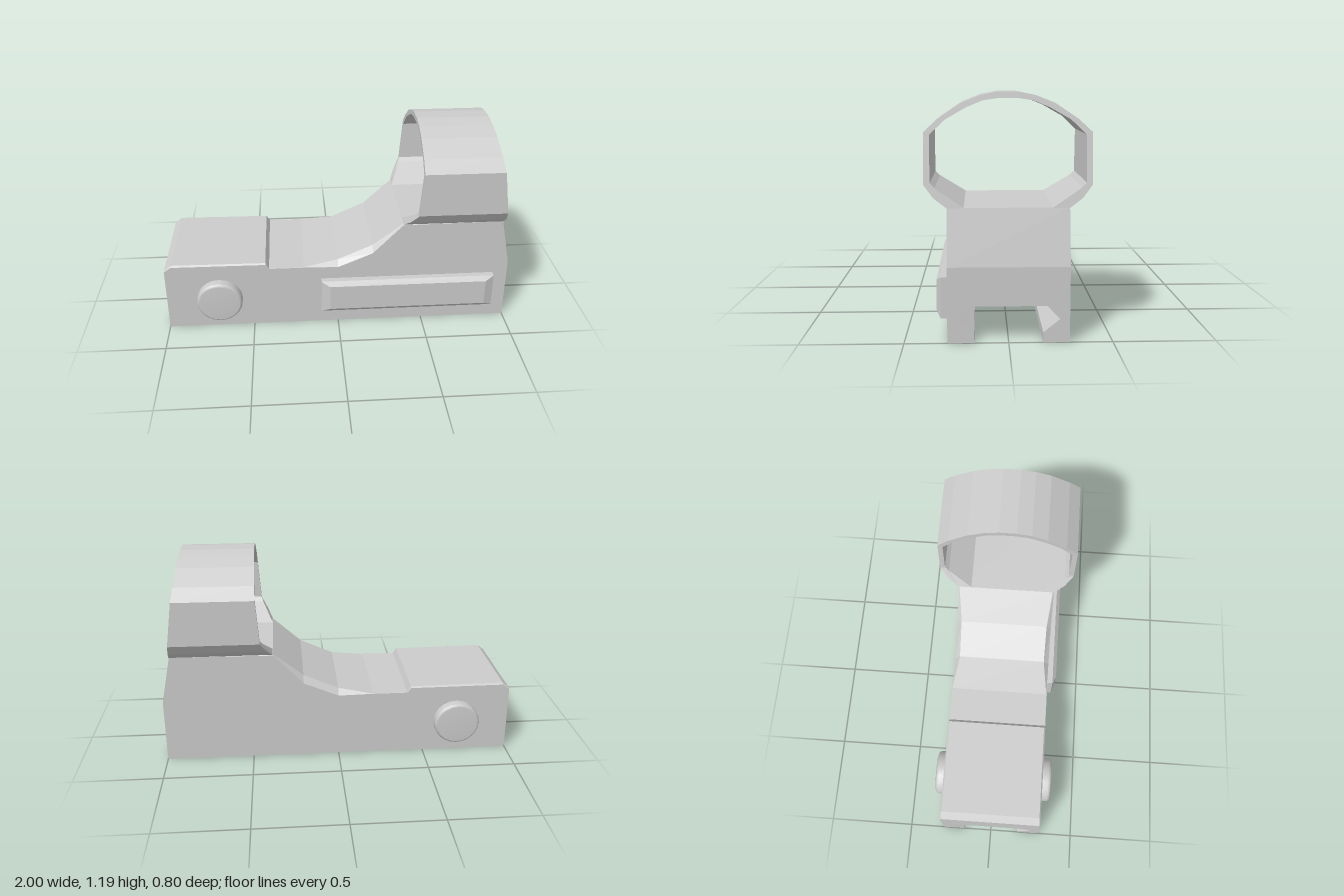
import * as THREE from 'three';

const material = new THREE.MeshStandardMaterial({ color: 0xcccccc, flatShading: true });
const smooth = new THREE.MeshStandardMaterial({ color: 0xcccccc });
const W = 0.293; // half width of the body

function add(group, name, geometry, mat = material) {
  const mesh = new THREE.Mesh(geometry, mat);
  mesh.name = name;
  group.add(mesh);
  return mesh;
}

// Cross-section of the body with the dovetail groove underneath
function section(topY, topHalf, sideY) {
  const half = [[0.185, 0.18], [0.245, 0.115], [0.165, 0.05], [0.165, 0],
    [W, 0], [W, sideY], [topHalf, topY]];
  const mirrored = half.map(([u, y]) => [-u, y]).reverse();
  return [...half, ...mirrored].map(([u, y]) => new THREE.Vector2(u, y));
}

// Body: cross-sections joined along x
function bodyGeometry() {
  // x, top height, half width of the top, height of the side edge
  const stations = [
    [-1, 0.385, 0.29, 0.38], [-0.96, 0.42, 0.285, 0.41], [-0.42, 0.415, 0.285, 0.407],
    [-0.4, 0.38, 0.291, 0.379], [-0.2, 0.38, 0.289, 0.379], [0, 0.41, 0.262, 0.375],
    [0.2, 0.5, 0.265, 0.46], [0.37, 0.645, 0.285, 0.638], [0.943, 0.645, 0.291, 0.644],
    [1, 0.37, 0.291, 0.369],
  ];
  const rings = stations.map(([, ...s]) => section(...s));
  const n = rings[0].length;
  const positions = [];
  rings.forEach((ring, i) => ring.forEach((p) => positions.push(stations[i][0], p.y, -p.x)));
  const index = [];
  for (let i = 0; i < rings.length - 1; i++) {
    for (let j = 0; j < n; j++) {
      const a = i * n + j, b = i * n + (j + 1) % n;
      index.push(a, b, b + n, a, b + n, a + n);
    }
  }
  // End faces
  const last = (rings.length - 1) * n;
  for (const [a, b, c] of THREE.ShapeUtils.triangulateShape(rings[0], [])) index.push(a, c, b);
  for (const [a, b, c] of THREE.ShapeUtils.triangulateShape(rings[rings.length - 1], [])) {
    index.push(last + a, last + b, last + c);
  }
  const geometry = new THREE.BufferGeometry();
  geometry.setAttribute('position', new THREE.Float32BufferAttribute(positions, 3));
  geometry.setIndex(index);
  const flat = geometry.toNonIndexed();
  flat.computeVertexNormals();
  return flat;
}

// Lens hood: a thin arched band whose front and rear edges slope with height
function hoodGeometry() {
  const outer = [[0.293, 0.643], [0.355, 0.69], [0.402, 0.752], [0.402, 1.0], [0.335, 1.062],
    [0.225, 1.136], [0.135, 1.172], [0.05, 1.189]];
  const inner = [[0.21, 0.643], [0.35, 0.738], [0.373, 0.762], [0.373, 0.988], [0.3, 1.058],
    [0.2, 1.115], [0.12, 1.148], [0.04, 1.16]];
  const mirror = (list) => list.map(([u, y]) => [-u, y]).reverse();
  const outline = [...outer, ...mirror(outer), ...mirror(mirror(inner).reverse()).reverse()
    .map(([u, y]) => [-u, y]), ...mirror(inner).reverse().map(([u, y]) => [-u, y]).reverse()];
  const geometry = new THREE.ExtrudeGeometry(
    new THREE.Shape(outline.map(([u, y]) => new THREE.Vector2(u, y))),
    { depth: 1, bevelEnabled: false },
  ).rotateY(Math.PI / 2);
  const p = geometry.attributes.position;
  const rear = [[0.643, 0.37], [0.752, 0.437], [1.0, 0.455], [1.2, 0.458]];
  for (let i = 0; i < p.count; i++) {
    const y = p.getY(i);
    const k = y < 0.752 ? 0 : y < 1 ? 1 : 2;
    const back = THREE.MathUtils.mapLinear(y, rear[k][0], rear[k + 1][0], rear[k][1], rear[k + 1][1]);
    const front = 0.945 - (y - 0.643) * 0.143;
    p.setX(i, THREE.MathUtils.lerp(back, front, p.getX(i)));
  }
  geometry.computeVertexNormals();
  return geometry;
}

// Side grip: box with a chamfered outer face
function gripGeometry() {
  const geometry = new THREE.BoxGeometry(1.015, 0.205, 0.08, 1, 1, 2);
  const p = geometry.attributes.position;
  for (let i = 0; i < p.count; i++) {
    const z = p.getZ(i);
    if (z > 0.03) p.setXYZ(i, p.getX(i) * 0.9, p.getY(i) * 0.75, z);
    else if (z > -0.03) p.setZ(i, 0.018);
  }
  geometry.computeVertexNormals();
  return geometry;
}

export function createModel() {
  const group = new THREE.Group();
  add(group, 'body', bodyGeometry());
  add(group, 'lensHood', hoodGeometry());
  add(group, 'sideGrip', gripGeometry()).position.set(0.407, 0.198, 0.31);

  // Round buttons on both sides
  const profile = [[0.132, 0], [0.132, 0.04], [0.127, 0.053], [0.115, 0.06], [0, 0.06]]
    .map(([r, y]) => new THREE.Vector2(r, y));
  for (const side of [1, -1]) {
    const button = add(group, side > 0 ? 'frontButton' : 'rearButton',
      new THREE.LatheGeometry(profile, 20), smooth);
    button.rotation.x = side * Math.PI / 2;
    button.position.set(-0.692, 0.19, side * 0.29);
    button.scale.z = 0.96;
  }
  return group;
}
